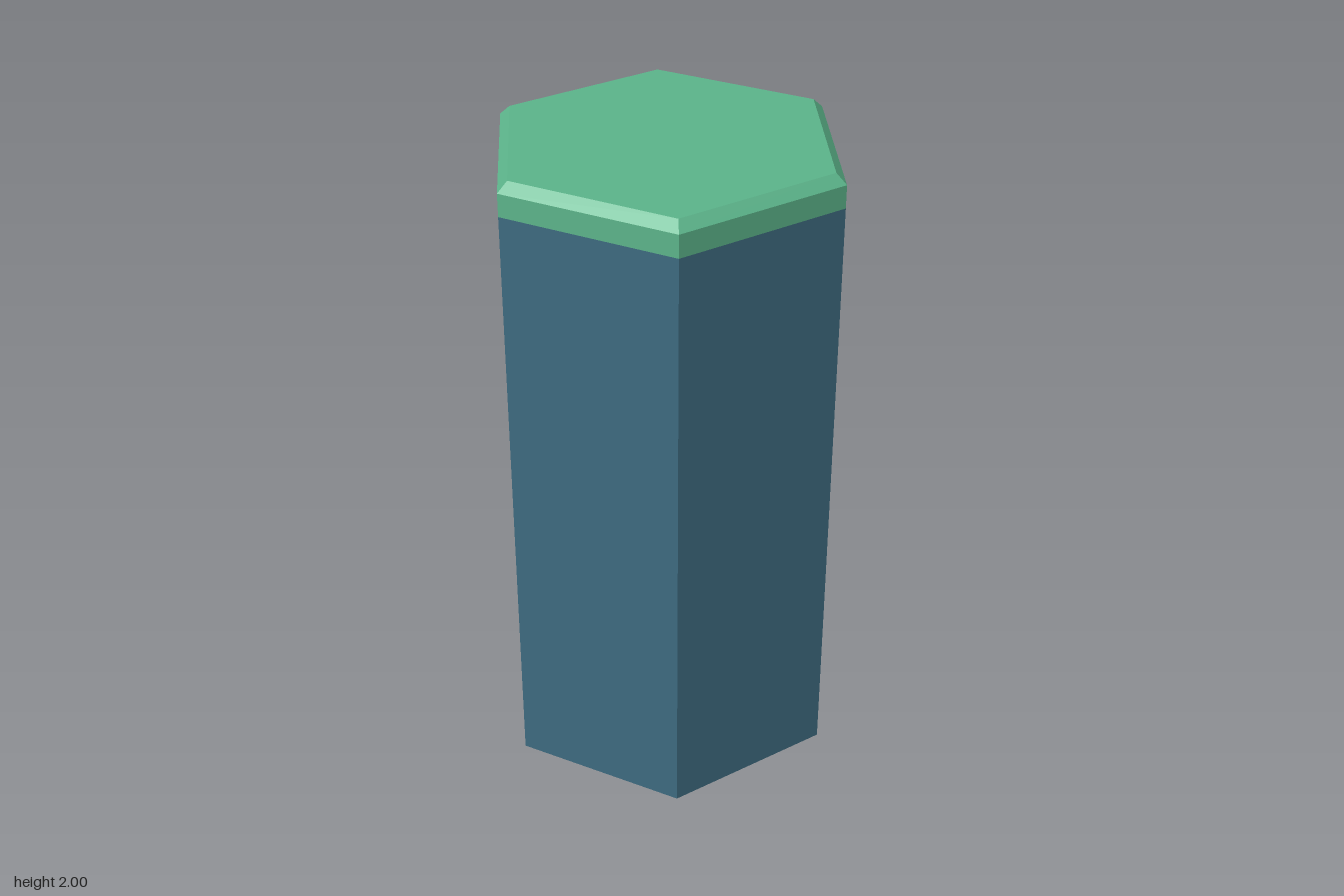
import * as THREE from 'three';

const R = 0.55, H = 0.476; // hexagon corner radius and apothem

function material(name, color) {
  const m = new THREE.MeshStandardMaterial({ color, flatShading: true });
  m.name = name;
  return m;
}

export function createModel() {
  const green = material('green', 0x5cb58b);
  const blue = material('blue', 0x3e6b80);
  const sand = material('sand', 0xe0c682);
  const stone = material('stone', 0xbdbdb6);

  const group = new THREE.Group();
  group.name = 'hexPillar';

  function add(name, geometry, mat) {
    const mesh = new THREE.Mesh(geometry, mat);
    mesh.name = name;
    group.add(mesh);
  }

  // Open six-sided ring with corners on the x axis
  function hexRing(name, top, bottom, y0, y1, mat) {
    const g = new THREE.CylinderGeometry(top, bottom, y1 - y0, 6, 1, true, Math.PI / 6);
    g.translate(0, (y0 + y1) / 2, 0);
    add(name, g, mat);
  }

  // Flat face on the underside, outlined by [x, z] points
  function underside(name, points, mat) {
    const shape = new THREE.Shape(points.map(([x, z]) => new THREE.Vector2(x, z)));
    add(name, new THREE.ShapeGeometry(shape).rotateX(Math.PI / 2), mat);
  }

  // Pillar walls and bevelled cap
  hexRing('pillarWalls', R, R, 0, 1.9, blue);
  hexRing('capRim', R, R, 1.9, 1.97, green);
  hexRing('capBevel', 0.517, R, 1.97, 2, green);
  const top = new THREE.CircleGeometry(0.517, 6).rotateX(-Math.PI / 2);
  top.translate(0, 2, 0);
  add('capTop', top, green);

  // Underside patches
  underside('undersideGreenMiddle', [[R, 0], [0.428, 0.21], [-0.06, 0.21], [-0.06, -0.2], [0.21, -0.21], [0.315, -0.407]], green);
  underside('undersideGreenFront', [[0.388, 0.28], [0.275, H], [-0.06, H], [-0.06, 0.28]], green);
  underside('undersideGreenBack', [[0.275, -H], [0.14, -0.27], [-0.06, -0.26], [-0.06, -H]], green);
  underside('undersideSandCorner', [[-0.06, 0], [-0.06, H], [-0.275, H], [-R, 0]], sand);
  underside('undersideSandStrip', [[0.428, 0.21], [0.388, 0.28], [-0.06, 0.28], [-0.06, 0.21]], sand);
  underside('undersideSandBend', [[0.315, -0.407], [0.21, -0.21], [-0.06, -0.2], [-0.06, -0.26], [0.14, -0.27], [0.275, -H]], sand);
  underside('undersideStone', [[-0.06, 0], [-R, 0], [-0.275, -H], [-0.06, -H]], stone);

  return group;
}
